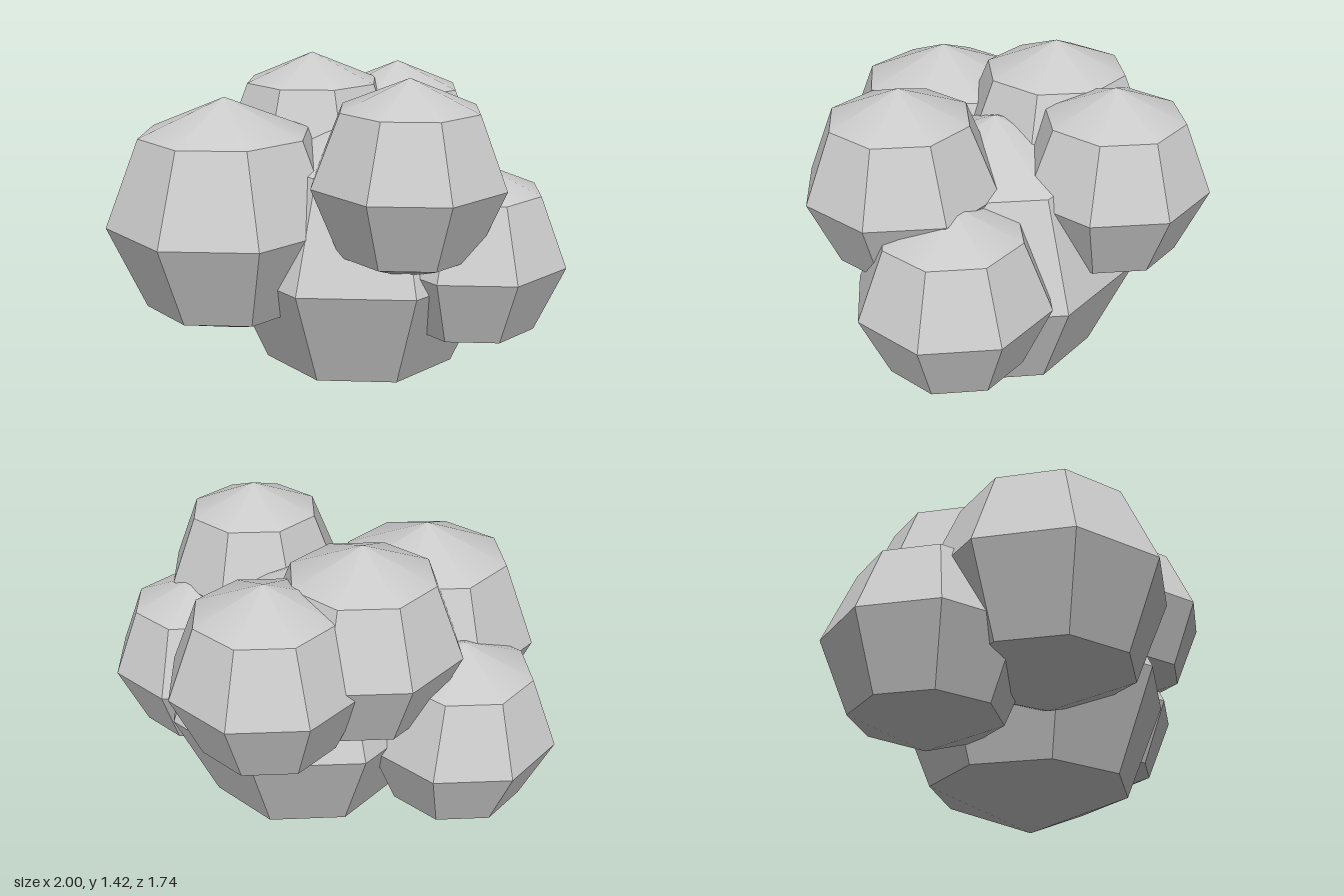
import * as THREE from 'three';
import { toCreasedNormals } from 'three/addons/utils/BufferGeometryUtils.js';

// A cluster of low-poly puffs around one large core: name, radius, centre
const PUFFS = [
  ['core', 0.6, [0.11, 0.6, 0]],
  ['frontRightPuff', 0.495, [-0.322, 0.805, 0.37]],
  ['frontLeftTopPuff', 0.392, [0.43, 1.021, 0.275]],
  ['leftPuff', 0.393, [0.607, 0.668, 0.015]],
  ['rightPuff', 0.413, [-0.587, 0.56, 0.005]],
  ['topPuff', 0.416, [-0.203, 1.005, -0.168]],
  ['backPuff', 0.395, [0.075, 0.967, -0.475]],
];

export function createModel() {
  const group = new THREE.Group();
  group.name = 'puffCluster';
  const material = new THREE.MeshStandardMaterial({ color: 0xcccccc });

  // Eight-sided ball: soft caps, crisp side facets
  const ball = toCreasedNormals(new THREE.SphereGeometry(1, 8, 4), Math.PI / 6);

  for (const [name, radius, centre] of PUFFS) {
    const puff = new THREE.Mesh(ball, material);
    puff.name = name;
    puff.scale.setScalar(radius);
    puff.position.set(...centre);
    group.add(puff);
  }
  return group;
}
